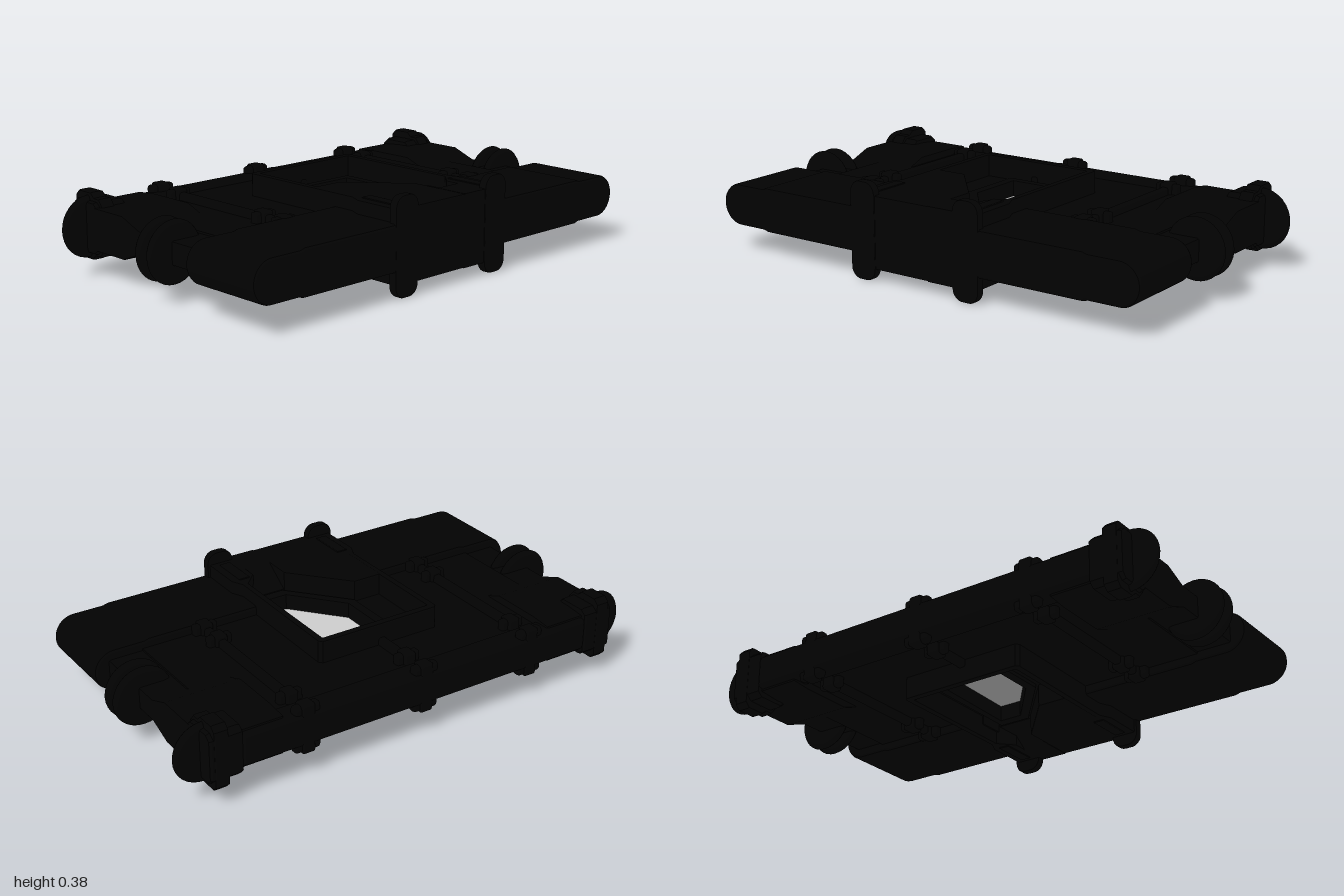
import * as THREE from 'three';
import { RoundedBoxGeometry } from 'three/addons/geometries/RoundedBoxGeometry.js';

const MID = 0.19; // height of the horizontal symmetry plane
const black = new THREE.MeshStandardMaterial({ color: 0x020202 });
black.name = 'black';
const grey = new THREE.MeshStandardMaterial({ color: 0xcdcdcd });
grey.name = 'pale grey';

const toShape = (pts) => new THREE.Shape(pts.map(([a, b]) => new THREE.Vector2(a, b)));

// Extrusion centred on its depth; the bevel stays inside the drawn outline
function extrude(shape, depth, bevel = 0) {
  const g = new THREE.ExtrudeGeometry(shape, {
    depth: depth - 2 * bevel, bevelEnabled: bevel > 0, bevelThickness: bevel,
    bevelSize: bevel, bevelOffset: -bevel, bevelSegments: 2, curveSegments: 14,
  });
  return g.translate(0, 0, -depth / 2 + bevel);
}
// Outline in (x, z), thick in y
const plan = (shape, depth, bevel) => extrude(shape, depth, bevel).rotateX(Math.PI / 2);
// Outline in (z, y offset), thick in x
const sideways = (pts, depth, bevel) =>
  extrude(toShape(pts.map(([z, y]) => [-z, y])), depth, bevel).rotateY(Math.PI / 2);
// Closed outline from its upper half, mirrored about the mid plane
const mirrorY = (pts) => [...pts, ...pts.map(([a, b]) => [a, -b]).reverse()];

// Rectangle with round corners, centred on the origin
function roundRect(w, h, r) {
  const s = new THREE.Shape();
  const x = w / 2 - r, y = h / 2 - r;
  s.absarc(x, y, r, 0, Math.PI / 2);
  s.absarc(-x, y, r, Math.PI / 2, Math.PI);
  s.absarc(-x, -y, r, Math.PI, Math.PI * 1.5);
  s.absarc(x, -y, r, Math.PI * 1.5, Math.PI * 2);
  s.closePath();
  return s;
}

export function createModel() {
  const model = new THREE.Group();
  model.name = 'slabDevice';
  const add = (name, geometry, x = 0, y = MID, z = 0, material = black) => {
    const m = new THREE.Mesh(geometry, material);
    m.name = name;
    m.position.set(x, y, z);
    model.add(m);
  };
  const box = (w, h, d, r = 0.01) => new RoundedBoxGeometry(w, h, d, 2, r);

  // Window opening and the rim around it
  const windowPts = [[-0.075, -0.18], [0.175, -0.18], [0.185, 0.26], [0.09, 0.26], [-0.075, 0.06]];
  const rimPts = [[-0.115, -0.215], [0.212, -0.215], [0.215, 0.305], [0.08, 0.305], [-0.115, 0.075]];
  const withWindow = (pts) => {
    const s = toShape(pts);
    s.holes.push(new THREE.Path(windowPts.map(([x, z]) => new THREE.Vector2(x, z))));
    return s;
  };

  // Main slab cut through by the window
  add('mainSlab', plan(withWindow([[-0.76, -0.53], [0.76, -0.53], [0.76, 0.35], [-0.76, 0.35]]), 0.106));
  add('windowRim', plan(withWindow(rimPts), 0.136, 0.005));
  add('windowPane', plan(toShape(windowPts), 0.008), 0, MID, 0, grey);

  // Raised U-shaped frame around the window
  const inner = [[0.18, 0.556], [0.18, 0.36], [0.237, 0.3], [0.237, -0.235]];
  const outer = [[0.255, -0.265], [0.267, -0.25], [0.262, 0.3], [0.285, 0.35], [0.285, 0.556]];
  const flip = (pts) => pts.map(([x, z]) => [-x, z]).reverse();
  add('windowFrame', plan(toShape([...inner, ...flip(inner), ...flip(outer), ...outer]), 0.285, 0.006));

  // Raised block along the slanted side of the window, and the ramped block beside it
  add('cornerBlock', plan(toShape([[-0.245, 0.085], [-0.12, 0.085], [0.07, 0.305], [0.07, 0.554], [-0.245, 0.554]]), 0.284, 0.006));
  add('rampBlock', sideways(mirrorY([[0.554, 0.142], [0.42, 0.142], [0.31, 0.066]]), 0.16), 0.148);

  // Profile of the front bar with a rounded end
  const end = new THREE.Shape();
  end.moveTo(0.23, -0.09);
  end.lineTo(0.73, -0.09);
  end.lineTo(0.75, -0.084);
  end.lineTo(0.876, -0.084);
  end.absarc(0.876, 0, 0.084, -Math.PI / 2, Math.PI / 2, false);
  end.lineTo(0.75, 0.084);
  end.lineTo(0.73, 0.09);
  end.lineTo(0.23, 0.09);
  end.closePath();

  add('rearBeam', box(1.54, 0.135, 0.1, 0.02), 0, MID, -0.506);

  // Side profiles in (z, y offset), and the rounded edge of a disc
  const flare = mirrorY([[0.22, 0.045], [-0.14, 0.045], [-0.24, 0.083], [-0.45, 0.083], [-0.535, 0.075]]);
  const podSide = mirrorY([[-0.385, 0.08], [-0.41, 0.112], [-0.44, 0.112], [-0.46, 0.13], [-0.535, 0.13], [-0.556, 0.11]]);
  const podInner = mirrorY([[-0.39, 0.075], [-0.42, 0.1], [-0.53, 0.1], [-0.553, 0.08]]);
  const discEdge = [[0, -0.015], [0.095, -0.015], [0.113, -0.01], [0.12, 0], [0.113, 0.01], [0.095, 0.015], [0, 0.015]]
    .map(([r, y]) => new THREE.Vector2(r, y));

  // Rod with a wide and a tall clasp at each stop, above and below the slab
  const claspedRod = (x, length, zMid, stops) => {
    for (const f of [1, -1]) {
      const y = MID + f * 0.062;
      add('rod', box(0.032, 0.04, length), x, y, zMid);
      for (const z of stops) {
        add('claspWide', box(0.1, 0.06, 0.035), x, y, z);
        add('claspTall', box(0.05, 0.07, 0.06), x, y, z);
      }
    }
    add('rearClasp', box(0.11, 0.19, 0.04, 0.015), x, MID, -0.53);
    add('rearClaspCore', box(0.055, 0.2, 0.054), x, MID, -0.529);
  };
  claspedRod(-0.01, 0.22, -0.34, [-0.42]);

  for (const s of [1, -1]) {
    add('frontBar', extrude(end, 0.356, 0.012).rotateY(s > 0 ? 0 : Math.PI), 0, MID, 0.378);

    // Corner panel that thins toward the front, and the edge rail
    add('cornerPanel', sideways(flare, 0.31, 0.008), s * 0.745);
    add('edgeRail', new THREE.CylinderGeometry(0.045, 0.045, 0.74, 16).rotateX(Math.PI / 2), s * 0.855, MID, -0.15);
    add('cornerPod', sideways(podInner, 0.14, 0.015), s * 0.83);
    add('podClamp', sideways(podSide, 0.06, 0.008), s * 0.85);

    // Thin round discs
    for (const z of [-0.475, -0.027, 0.037])
      add('edgeDisc', new THREE.LatheGeometry(discEdge, 32).rotateX(Math.PI / 2), s * 0.88, MID, z);

    claspedRod(s * 0.5, 0.6, -0.12, [-0.42, 0.08, 0.19]);

    // Tall front lugs and the insets behind them
    add('frontLug', extrude(roundRect(0.115, 0.38, 0.045), 0.036, 0.006), s * 0.238, MID, 0.54);
    for (const f of [1, -1])
      add('railInset', box(0.045, 0.008, 0.16, 0.003), s * 0.23, MID + f * 0.143, 0.42);
  }
  return model;
}
